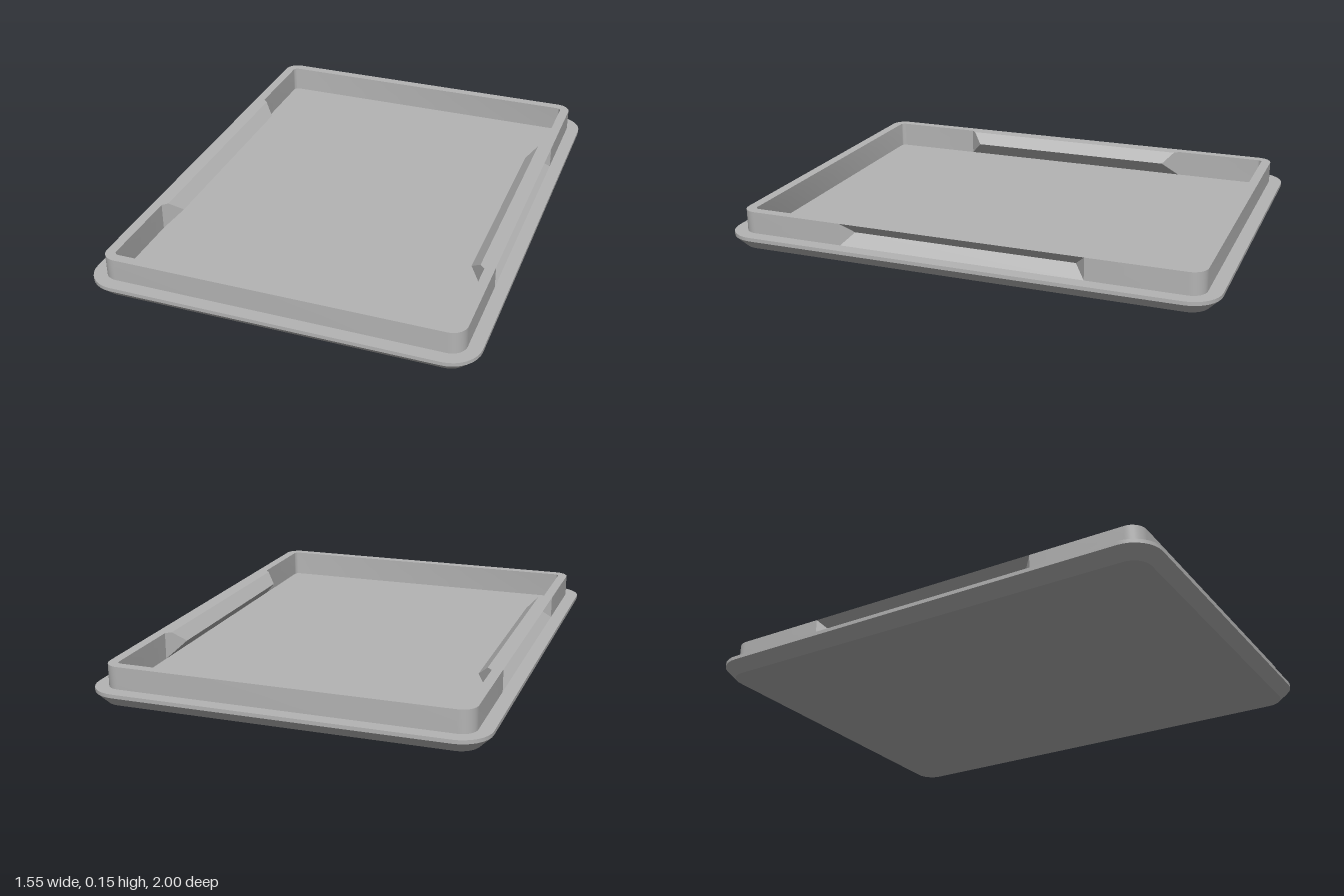
import * as THREE from 'three';
import { toCreasedNormals } from 'three/addons/utils/BufferGeometryUtils.js';

const CORNER_STEPS = 8;

// Skin a stack of closed rings (arrays of [x, y, z]) that share one point count.
function loft(rings) {
  const n = rings[0].length;
  const index = [];
  for (let j = 0; j < rings.length - 1; j++) {
    for (let i = 0; i < n; i++) {
      const k = (i + 1) % n;
      const a = j * n + i, b = a + n, c = (j + 1) * n + k, d = j * n + k;
      index.push(a, b, c, a, c, d);
    }
  }
  const geometry = new THREE.BufferGeometry();
  geometry.setAttribute('position', new THREE.Float32BufferAttribute(rings.flat(2), 3));
  geometry.setIndex(index);
  return toCreasedNormals(geometry, 0.5);
}

// Rounded rectangle with half sizes w, d and corner radius r at height y.
function roundedRing(w, d, r, y) {
  const points = [];
  [[1, 1], [-1, 1], [-1, -1], [1, -1]].forEach(([sx, sz], q) => {
    for (let i = 0; i <= CORNER_STEPS; i++) {
      const a = (q + i / CORNER_STEPS) * Math.PI / 2;
      points.push([sx * (w - r) + r * Math.cos(a), y, sz * (d - r) + r * Math.sin(a)]);
    }
  });
  return points;
}

// Wall stations. Each lists [x, z] for outer bottom, middle, top, then inner top, middle, bottom.
function wallStations() {
  const plain = [[0.72, 0.52], [0.72, 0.52], [0.72, 0.52], [0.68, 0.52], [0.68, 0.52], [0.68, 0.52]];
  const grooveEnd = [[0.72, 0.5], [0.72, 0.5], [0.72, 0.5], [0.66, 0.5], [0.66, 0.5], [0.68, 0.52]];
  const grooveDeep = [[0.72, 0.5], [0.675, 0.455], [0.72, 0.5], [0.66, 0.5], [0.615, 0.455], [0.68, 0.52]];
  const flip = (station) => station.map(([x, z]) => [x, -z]);

  // one grip side followed by two rounded corners
  const half = [flip(plain), flip(grooveEnd), flip(grooveDeep), grooveDeep, grooveEnd, plain];
  [1, -1].forEach((side, q) => {
    for (let i = 0; i <= CORNER_STEPS; i++) {
      const a = (q + i / CORNER_STEPS) * Math.PI / 2;
      half.push([0.06, 0.06, 0.06, 0.02, 0.02, 0.02].map((r) =>
        [side * 0.66 + r * Math.cos(a), 0.885 + r * Math.sin(a)]));
    }
  });
  // the other half is the same turned by 180 degrees
  return half.concat(half.map((station) => station.map(([x, z]) => [-x, -z])));
}

export function createModel() {
  const grey = new THREE.MeshStandardMaterial({ color: 0xb4b4b4 });
  grey.name = 'grey plastic';
  const model = new THREE.Group();
  model.name = 'trayLid';
  const add = (name, geometry) => {
    const mesh = new THREE.Mesh(geometry, grey);
    mesh.name = name;
    model.add(mesh);
  };

  // Base plate: flat underside, chamfered edge and flange top
  const bottom = roundedRing(0.73, 0.955, 0.075, 0);
  add('basePlate', loft([
    bottom.map(() => [0, 0, 0]),
    bottom,
    roundedRing(0.775, 1, 0.12, 0.045),
    roundedRing(0.775, 1, 0.12, 0.06),
    roundedRing(0.71, 0.935, 0.05, 0.06),
  ]));

  // Recessed floor inside the wall
  const floorEdge = roundedRing(0.68, 0.905, 0.02, 0.04);
  add('floor', loft([floorEdge, floorEdge.map(() => [0, 0.04, 0])]));

  // Raised wall with a V-shaped grip groove pressed into each long side
  const stations = wallStations();
  const heights = [0.06, 0.105, 0.15, 0.15, 0.105, 0.04];
  add('wall', loft(heights.map((y, j) => stations.map((s) => [s[j][0], y, s[j][1]]))));

  return model;
}
